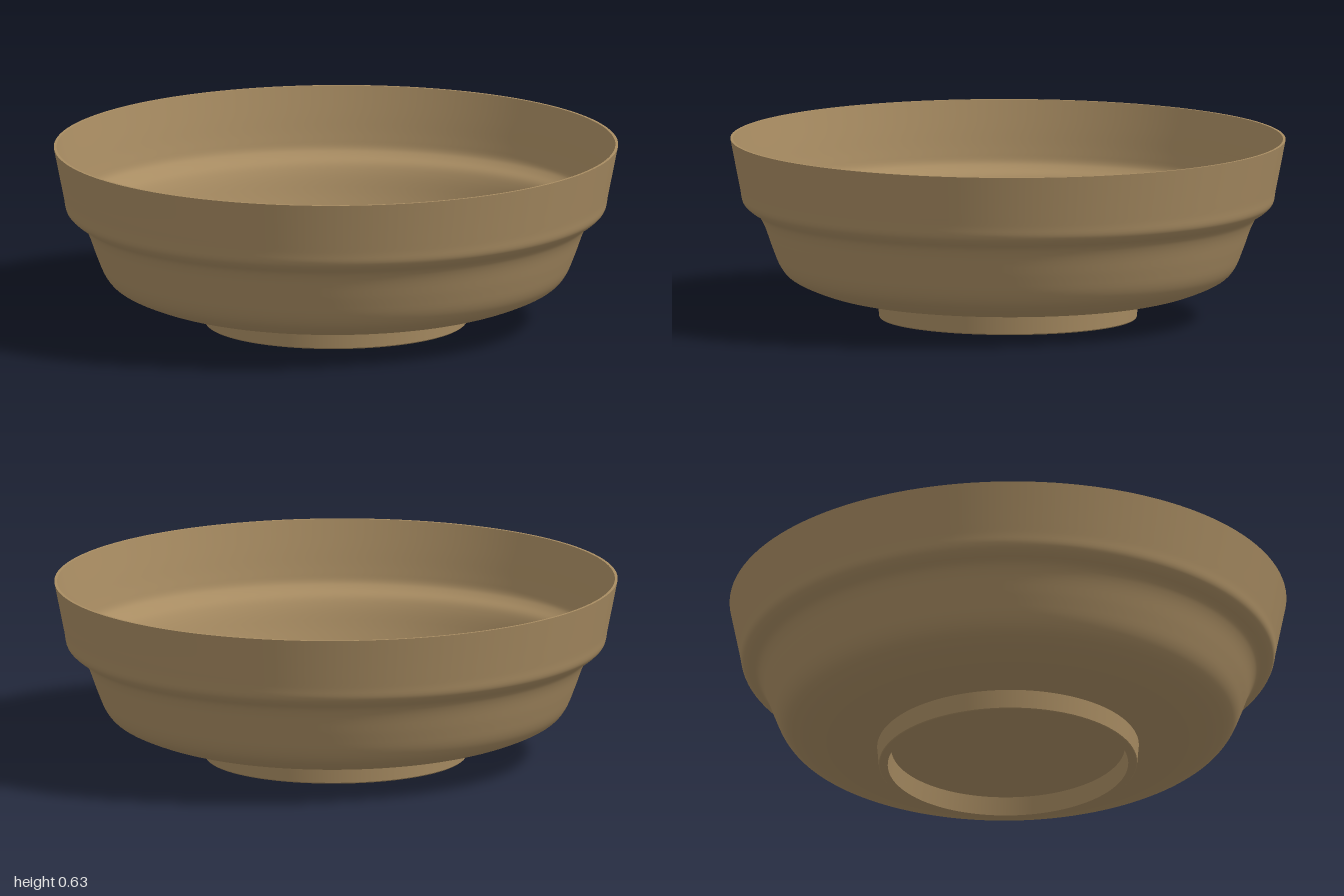
import * as THREE from 'three';

const SEGMENTS = 128;
const DEPTH_SCALE = 0.977; // the bowl is very slightly oval

const clay = new THREE.MeshStandardMaterial({ color: 0xa88c62 });
clay.name = 'clay';

// Revolves a profile of [radius, height] pairs; smooth runs it through a spline
function turned(name, pairs, smooth = false) {
  let points = pairs.map(([r, y]) => new THREE.Vector2(r, y));
  if (smooth) {
    const curve = new THREE.CatmullRomCurve3(
      pairs.map(([r, y]) => new THREE.Vector3(r, y, 0)), false, 'centripetal');
    points = curve.getPoints(60).map(p => new THREE.Vector2(Math.max(p.x, 0), p.y));
  }
  const mesh = new THREE.Mesh(new THREE.LatheGeometry(points, SEGMENTS), clay);
  mesh.name = name;
  return mesh;
}

export function createModel() {
  const bowl = new THREE.Group();
  bowl.name = 'bowl';

  // Outer wall: rounded base, flared lower band, step, flared upper band
  const lowerWall = [
    [0.47, 0.07], [0.55, 0.077], [0.64, 0.09], [0.72, 0.115], [0.79, 0.15],
    [0.82, 0.185], [0.85, 0.255], [0.88, 0.335], [0.9, 0.367], [0.935, 0.391],
    [0.955, 0.412], [0.964, 0.455], [0.98, 0.535], [1, 0.635],
  ];
  bowl.add(turned('outerWall', lowerWall, true));

  // Thin flat lip
  bowl.add(turned('rim', [[1, 0.635], [0.99, 0.635]]));

  // Inside follows the outer wall down to a nearly flat floor
  const innerWall = [
    [0.99, 0.635], [0.969, 0.535], [0.953, 0.455], [0.943, 0.418],
    [0.925, 0.4], [0.89, 0.377], [0.868, 0.342], [0.838, 0.262],
    [0.808, 0.195], [0.78, 0.162], [0.71, 0.129], [0.63, 0.104],
    [0.5, 0.088], [0.25, 0.082], [0, 0.08],
  ];
  bowl.add(turned('innerWall', innerWall, true));

  // Foot ring with a recessed underside
  bowl.add(turned('footOuter', [[0.464, 0.004], [0.47, 0.07]]));
  bowl.add(turned('footBottom', [[0.432, 0], [0.46, 0], [0.464, 0.004]]));
  bowl.add(turned('footInner', [[0.42, 0.065], [0.432, 0]]));
  bowl.add(turned('footRecess', [[0, 0.065], [0.42, 0.065]]));

  bowl.scale.z = DEPTH_SCALE;
  const model = new THREE.Group();
  model.name = 'steppedBowl';
  model.add(bowl);
  return model;
}
